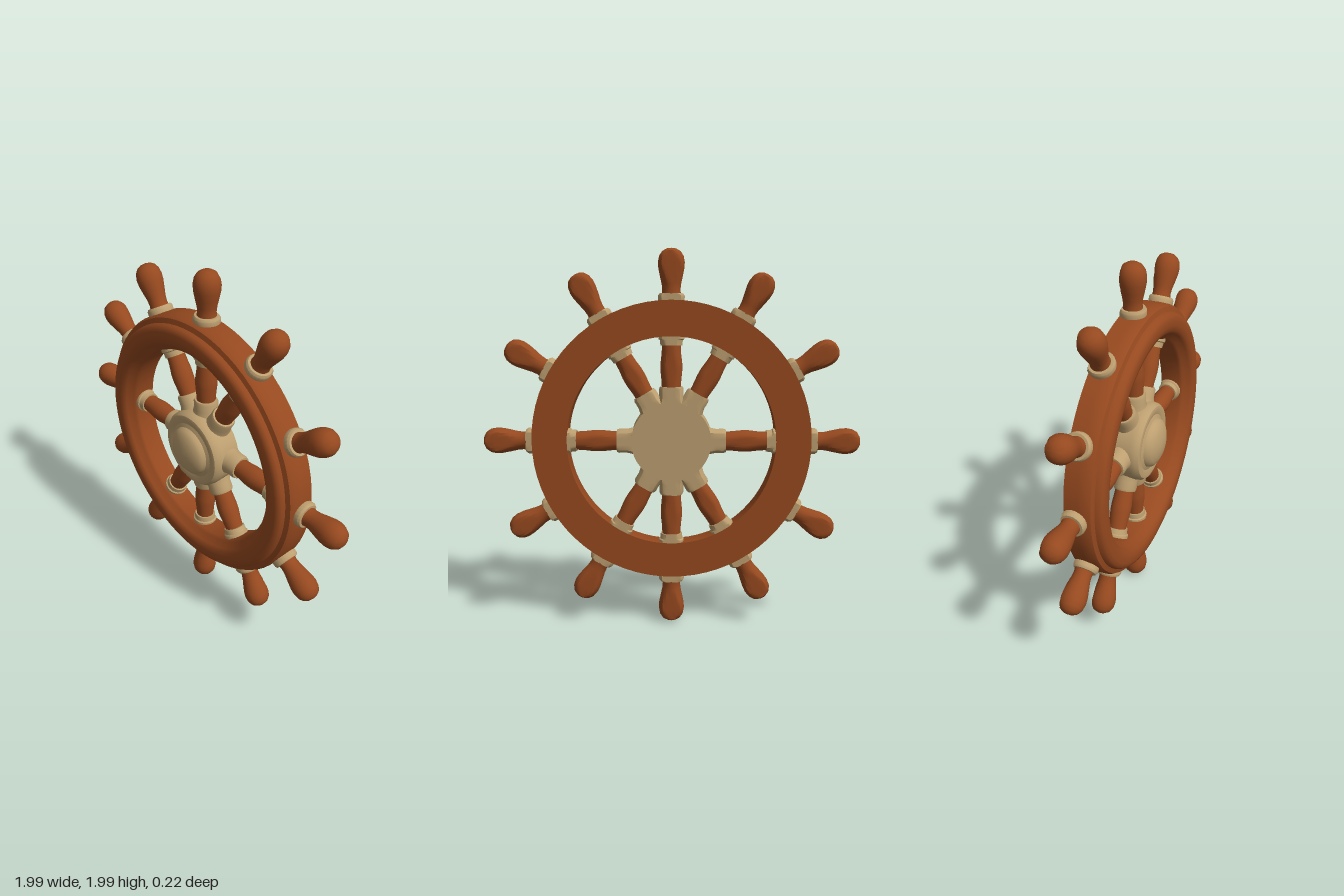
import * as THREE from 'three';
import { toCreasedNormals } from 'three/addons/utils/BufferGeometryUtils.js';

const BACK = -0.11;        // flat back plane of the wheel
const AXIS_Z = -0.06;      // depth of the spoke axes

const wood = new THREE.MeshStandardMaterial({ color: 0x96491f });
wood.name = 'reddish wood';
const brass = new THREE.MeshStandardMaterial({ color: 0xbd9f70 });
brass.name = 'pale brass';

const toPoints = (profile) => profile.map(([r, h]) => new THREE.Vector2(r, h));

// Ring or disc turned around the z axis
function turnedDisc(profile, segments, crease) {
  const g = new THREE.LatheGeometry(toPoints(profile), segments);
  g.rotateX(Math.PI / 2);
  return toCreasedNormals(g, crease);
}

// Turned rod along +y whose back is cut flat
function turnedRod(profile, inset = 0) {
  const g = new THREE.LatheGeometry(toPoints(profile), 24);
  g.rotateY(Math.PI);
  g.translate(0, 0, AXIS_Z);
  const p = g.attributes.position;
  for (let i = 0; i < p.count; i++) p.setZ(i, Math.max(p.getZ(i), BACK + inset));
  return toCreasedNormals(g, 0.6);
}

export function createModel() {
  const model = new THREE.Group();
  model.name = 'shipWheel';
  const wheel = new THREE.Group();
  wheel.name = 'wheel';
  wheel.position.y = 1;
  model.add(wheel);

  const add = (parent, name, geometry, material) => {
    const mesh = new THREE.Mesh(geometry, material);
    mesh.name = name;
    parent.add(mesh);
  };

  // Rim with a raised, rounded front band
  add(wheel, 'rim', turnedDisc([
    [0.735, BACK], [0.737, -0.04], [0.735, 0.005], [0.725, 0.024], [0.70, 0.032],
    [0.695, 0.05], [0.685, 0.063], [0.665, 0.07], [0.63, 0.07], [0.605, 0.064],
    [0.588, 0.05], [0.578, 0.028], [0.56, 0.018], [0.55, 0], [0.55, BACK], [0.735, BACK],
  ], 72, 0.65), wood);

  // Hub with a lipped disc and domed cap
  add(wheel, 'hub', turnedDisc([
    [0, BACK], [0.21, BACK], [0.216, 0], [0.212, 0.03], [0.2, 0.046], [0.185, 0.05],
    [0.155, 0.042], [0.135, 0.05], [0.128, 0.07], [0.11, 0.085], [0.08, 0.098],
    [0.04, 0.107], [0, 0.11],
  ], 48, 0.6), brass);

  // Profiles along a spoke: radius, distance from the hub centre
  const handle = turnedRod([
    [0.05, 0.765], [0.047, 0.785], [0.05, 0.815], [0.059, 0.855], [0.067, 0.895],
    [0.069, 0.925], [0.063, 0.957], [0.048, 0.98], [0.026, 0.993], [0, 0.997],
  ]);
  const outerCollar = turnedRod([
    [0.066, 0.715], [0.069, 0.735], [0.069, 0.757], [0.062, 0.768], [0.04, 0.768],
  ], 0.001);
  const spoke = turnedRod([
    [0.05, 0.27], [0.051, 0.31], [0.057, 0.37], [0.057, 0.41], [0.051, 0.46], [0.048, 0.52],
  ], 0.002);
  const innerCollar = turnedRod([
    [0.04, 0.502], [0.057, 0.502], [0.06, 0.53], [0.067, 0.535], [0.067, 0.57],
  ], 0.001);
  const hubSocket = turnedRod([
    [0.076, 0.17], [0.07, 0.21], [0.064, 0.235], [0.065, 0.275], [0.06, 0.288], [0.04, 0.288],
  ], 0.001);

  // Twelve handles; eight of them continue inward as spokes
  for (let i = 0; i < 12; i++) {
    const arm = new THREE.Group();
    arm.name = 'arm' + (i + 1);
    arm.rotation.z = i * Math.PI / 6;
    add(arm, 'handle', handle, wood);
    add(arm, 'outerCollar', outerCollar, brass);
    const hasSpoke = ![2, 4, 8, 10].includes(i);
    if (hasSpoke) {
      add(arm, 'spoke', spoke, wood);
      add(arm, 'innerCollar', innerCollar, brass);
      add(arm, 'hubSocket', hubSocket, brass);
    }
    wheel.add(arm);
  }
  return model;
}
